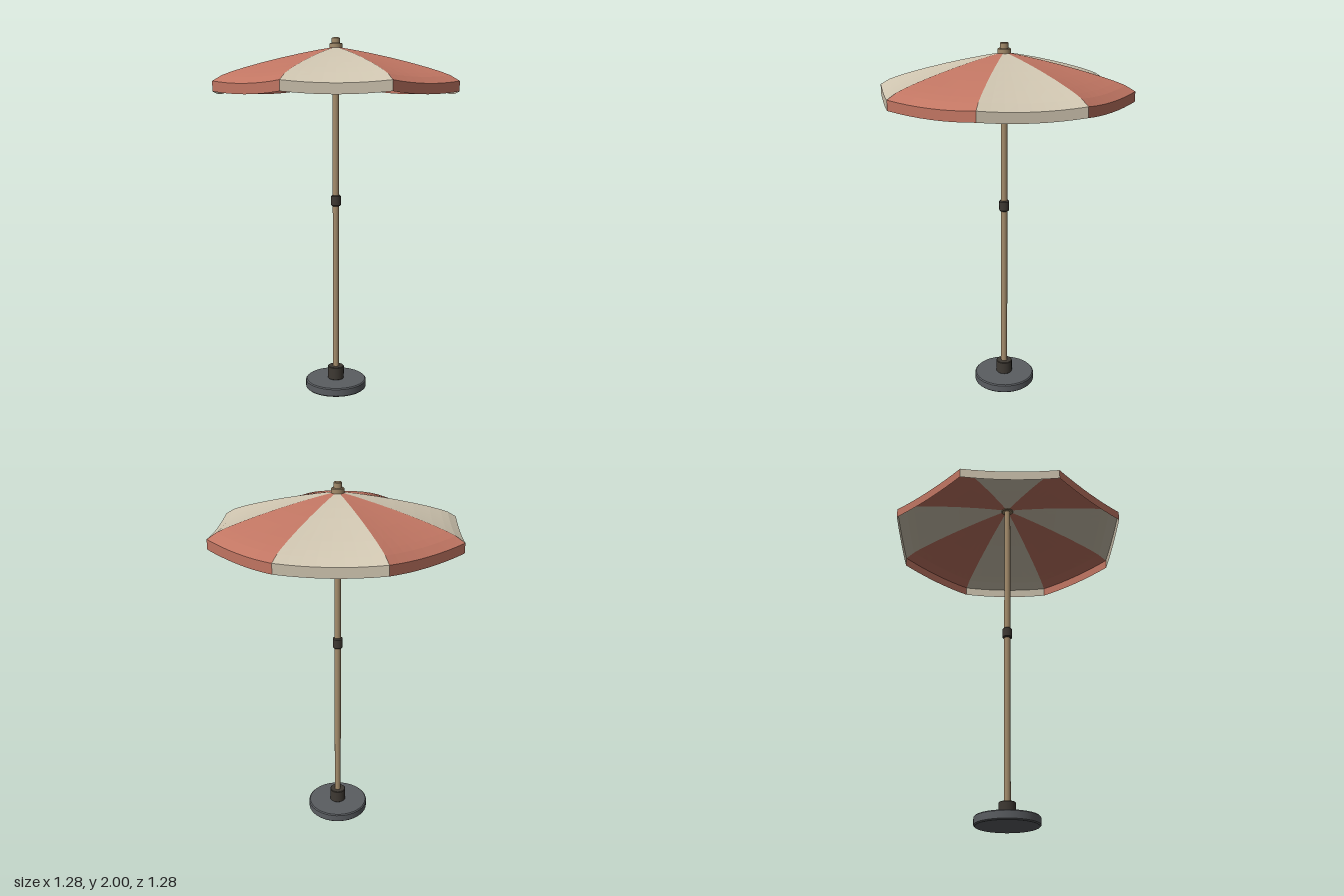
import * as THREE from 'three';

const mat = (name, color, extra = {}) => Object.assign(new THREE.MeshStandardMaterial({ color, ...extra }), { name });

export function createModel() {
  const model = new THREE.Group();
  model.name = 'parasol';
  const cloth = { side: THREE.DoubleSide, flatShading: true };
  const red = mat('terracotta cloth', 0xc07562, cloth);
  const cream = mat('cream cloth', 0xcfc5b0, cloth);
  const wood = mat('wood', 0xa58d6c);
  const grey = mat('grey base', 0x5a5d61);
  const dark = mat('dark fitting', 0x3e3933);

  // Closed turned part with bevelled rims; every profile segment keeps its own normals
  const turned = (name, material, r, y0, y1, bevel, sides = 32) => {
    const profile = [[0, y0], [r - bevel, y0], [r, y0 + bevel], [r, y1 - bevel], [r - bevel, y1], [0, y1]];
    const group = new THREE.Group();
    group.name = name;
    for (let i = 0; i < profile.length - 1; i++) {
      const pts = [profile[i], profile[i + 1]].map(p => new THREE.Vector2(...p));
      const mesh = new THREE.Mesh(new THREE.LatheGeometry(pts, sides), material);
      mesh.name = name + 'Surface';
      group.add(mesh);
    }
    model.add(group);
  };

  // Base, pole and fittings
  turned('base', grey, 0.175, 0, 0.05, 0.006, 40);
  turned('socket', dark, 0.046, 0.05, 0.125, 0.003);
  turned('pole', wood, 0.018, 0.05, 1.95, 0.002, 24);
  turned('collar', dark, 0.028, 1.07, 1.132, 0.006, 24);
  turned('topCap', wood, 0.035, 1.937, 1.97, 0.004, 24);
  turned('finial', wood, 0.023, 1.965, 2.0, 0.004, 24);

  // Surface strip from a grid function f(u, v) => [x, y, z]
  const strip = (us, vs, f) => {
    const pos = [], idx = [], n = us.length;
    for (const v of vs) for (const u of us) pos.push(...f(u, v));
    for (let j = 0; j < vs.length - 1; j++) {
      for (let i = 0; i < n - 1; i++) {
        const a = j * n + i, b = a + n;
        idx.push(a, b, a + 1, a + 1, b, b + 1);
      }
    }
    const g = new THREE.BufferGeometry();
    g.setAttribute('position', new THREE.Float32BufferAttribute(pos, 3));
    g.setIndex(idx);
    g.computeVertexNormals();
    return g;
  };

  // Rib profile: distance fraction and height
  const rib = [[0.005, 1.95], [0.15, 1.932], [0.3, 1.911], [0.46, 1.886], [0.62, 1.858],
    [0.76, 1.831], [0.86, 1.809], [0.925, 1.792], [1, 1.762]];
  const apothem = 0.64, half = apothem * Math.tan(Math.PI / 8), drop = 0.053;
  const across = Array.from({ length: 9 }, (_, i) => -1 + i / 4);
  const sag = (u, t) => 0.015 * t * t * (1 - u * u);

  const panelGeo = strip(across, rib, (u, [t, y]) => [u * half * t, y - sag(u, t), apothem * t]);
  const valanceGeo = strip(across, [0, drop], (u, d) => [u * half, 1.762 - sag(u, 1) - d, apothem]);

  // Eight canopy panels in alternating colours, each with a hanging valance
  for (let i = 0; i < 8; i++) {
    const panel = new THREE.Group();
    panel.name = 'canopyPanel' + (i + 1);
    const material = i % 2 ? cream : red;
    const top = new THREE.Mesh(panelGeo, material);
    top.name = 'canopyCloth';
    const valance = new THREE.Mesh(valanceGeo, material);
    valance.name = 'valance';
    panel.add(top, valance);
    panel.rotation.y = i * Math.PI / 4;
    model.add(panel);
  }
  return model;
}
